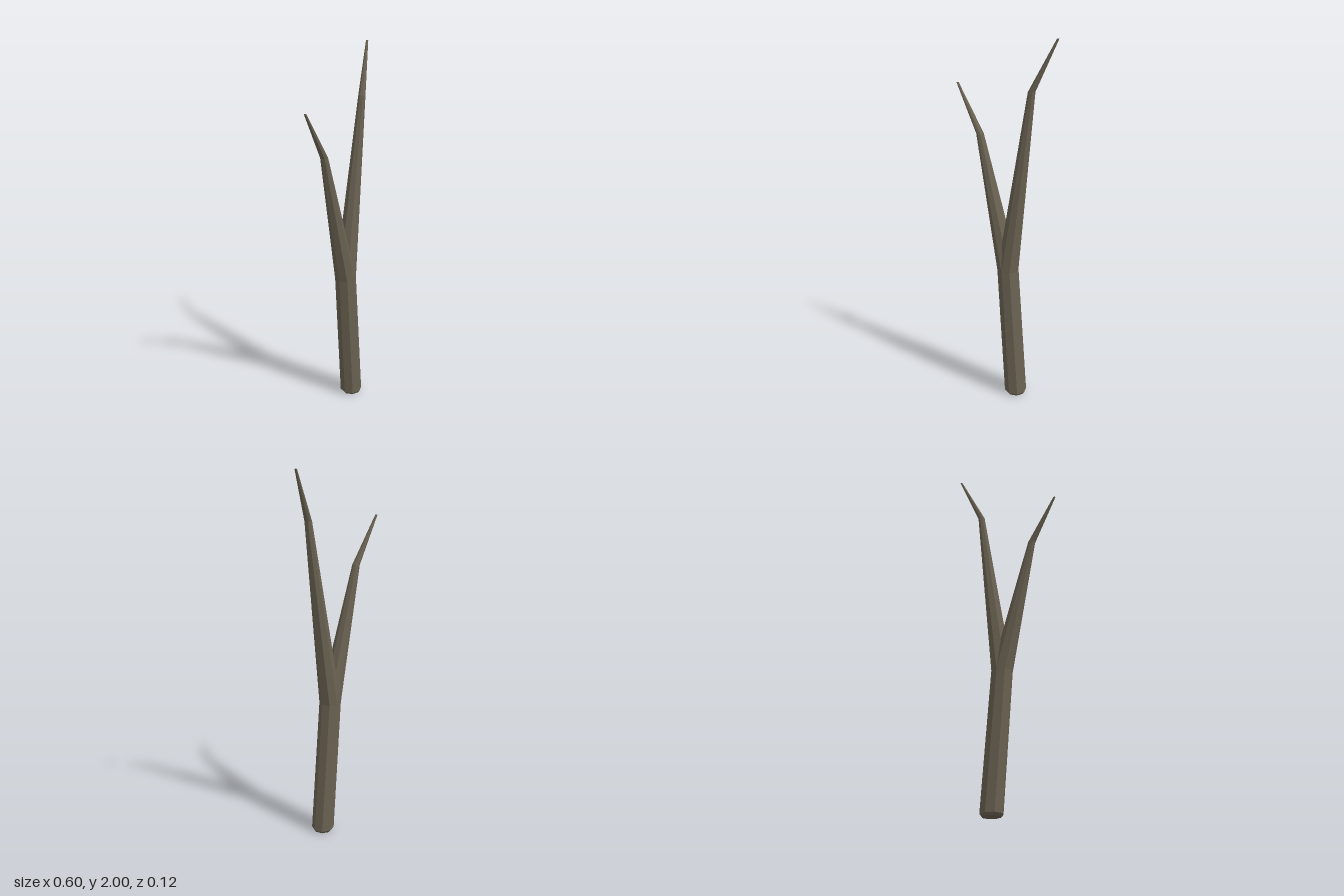
import * as THREE from 'three';

const SIDES = 8;

// Tapered limb: level octagonal rings [x, y, z, radius] joined in a loop, capped at both ends
function limb(name, rings, material) {
  const pos = [], index = [];
  for (const [x, y, z, r] of rings) {
    for (let i = 0; i < SIDES; i++) {
      const a = (i / SIDES) * Math.PI * 2;
      pos.push(x + r * Math.cos(a), y, z - r * Math.sin(a));
    }
  }
  for (let k = 0; k < rings.length - 1; k++) {
    for (let i = 0; i < SIDES; i++) {
      const j = (i + 1) % SIDES;
      const a = k * SIDES + i, b = k * SIDES + j;
      index.push(a, b, b + SIDES, a, b + SIDES, a + SIDES);
    }
  }
  const top = (rings.length - 1) * SIDES;
  for (let i = 1; i < SIDES - 1; i++) {
    index.push(0, i + 1, i, top, top + i, top + i + 1);
  }
  const geometry = new THREE.BufferGeometry();
  geometry.setAttribute('position', new THREE.Float32BufferAttribute(pos, 3));
  geometry.setIndex(index);
  geometry.computeVertexNormals();
  const mesh = new THREE.Mesh(geometry, material);
  mesh.name = name;
  return mesh;
}

export function createModel() {
  const group = new THREE.Group();
  group.name = 'forkedBranch';
  const bark = new THREE.MeshStandardMaterial({ color: 0x6a6252, flatShading: true });
  const fork = [0.038, 0.75, 0, 0.058];

  // Leaning trunk with a small bevel at the foot
  group.add(limb('trunk', [[0.096, 0, 0, 0.05], [0.095, 0.014, 0, 0.061], fork], bark));

  // Two branches share the fork ring, each with a kink before its thin tip
  group.add(limb('rightBranch', [fork, [-0.148, 1.48, 0, 0.02], [-0.295, 1.73, 0, 0.006]], bark));
  group.add(limb('leftBranch', [fork, [0.18, 1.74, 0, 0.019], [0.295, 2, -0.049, 0.006]], bark));

  return group;
}
